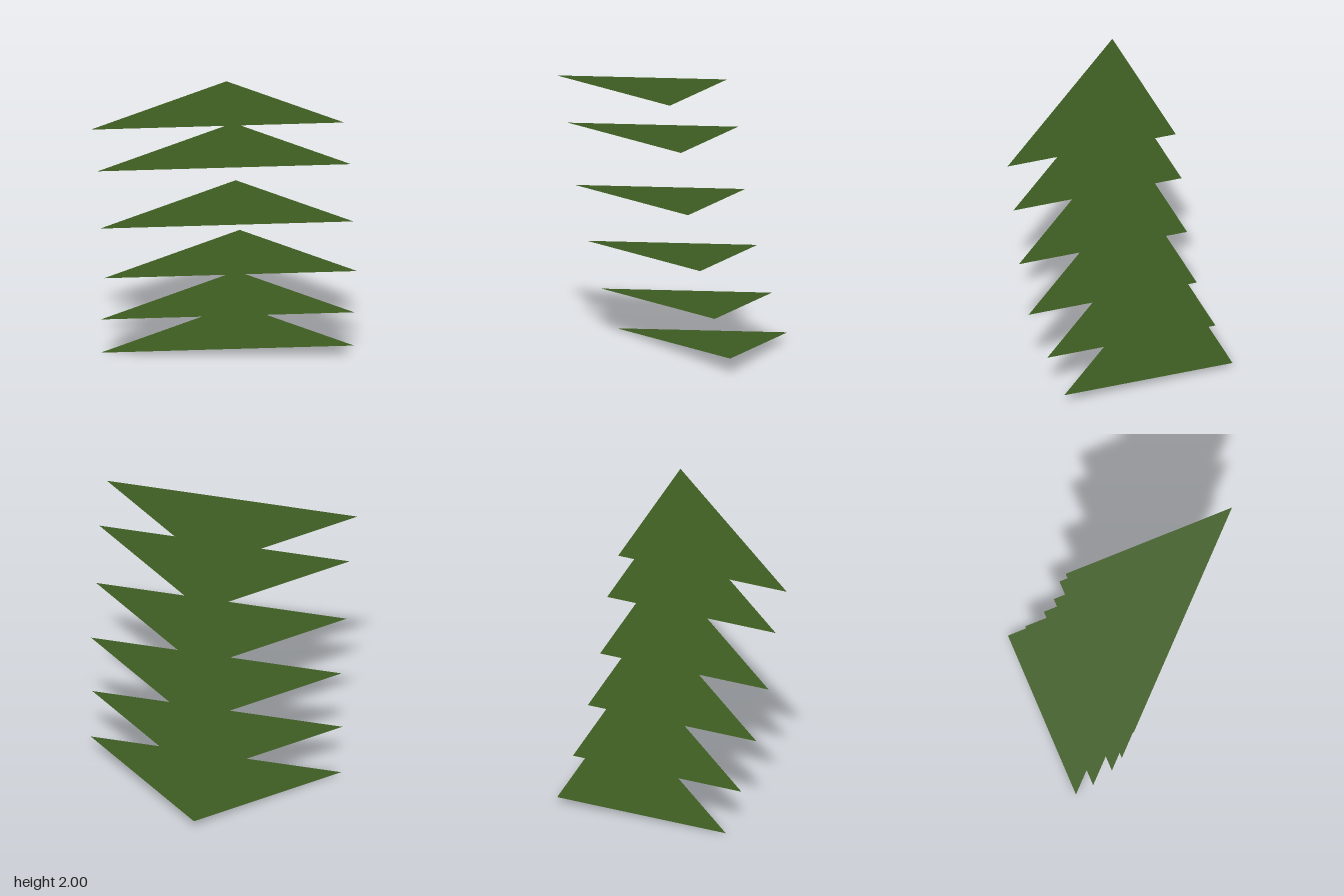
import * as THREE from 'three';

// Flat triangular leaf blade: point at the back, wide edge at the front, tilted up towards +x
const HALF_WIDTH = 0.917, DEPTH = 0.917, RISE = 0.0525;

function bladeGeometry() {
  const geometry = new THREE.BufferGeometry();
  geometry.setAttribute('position', new THREE.Float32BufferAttribute([
    0, 0, -DEPTH,
    -HALF_WIDTH, -RISE, 0,
    HALF_WIDTH, RISE, 0,
  ], 3));
  geometry.computeVertexNormals();
  return geometry;
}

export function createModel() {
  const model = new THREE.Group();
  model.name = 'stackedBlades';

  const leafGreen = new THREE.MeshStandardMaterial({ color: 0x3f5d22, side: THREE.DoubleSide });
  leafGreen.name = 'leaf green';

  // Middle of each blade's front edge, bottom to top
  const levels = [
    [-0.005, 0.0525, 0.225],
    [0.006, 0.358, 0.355],
    [0.038, 0.727, 0.488],
    [0.016, 1.142, 0.575],
    [0.002, 1.602, 0.625],
    [-0.043, 1.9475, 0.692],
  ];
  const geometry = bladeGeometry();
  levels.forEach((position, i) => {
    const blade = new THREE.Mesh(geometry, leafGreen);
    blade.name = `blade${i + 1}`;
    blade.position.set(...position);
    model.add(blade);
  });
  return model;
}
